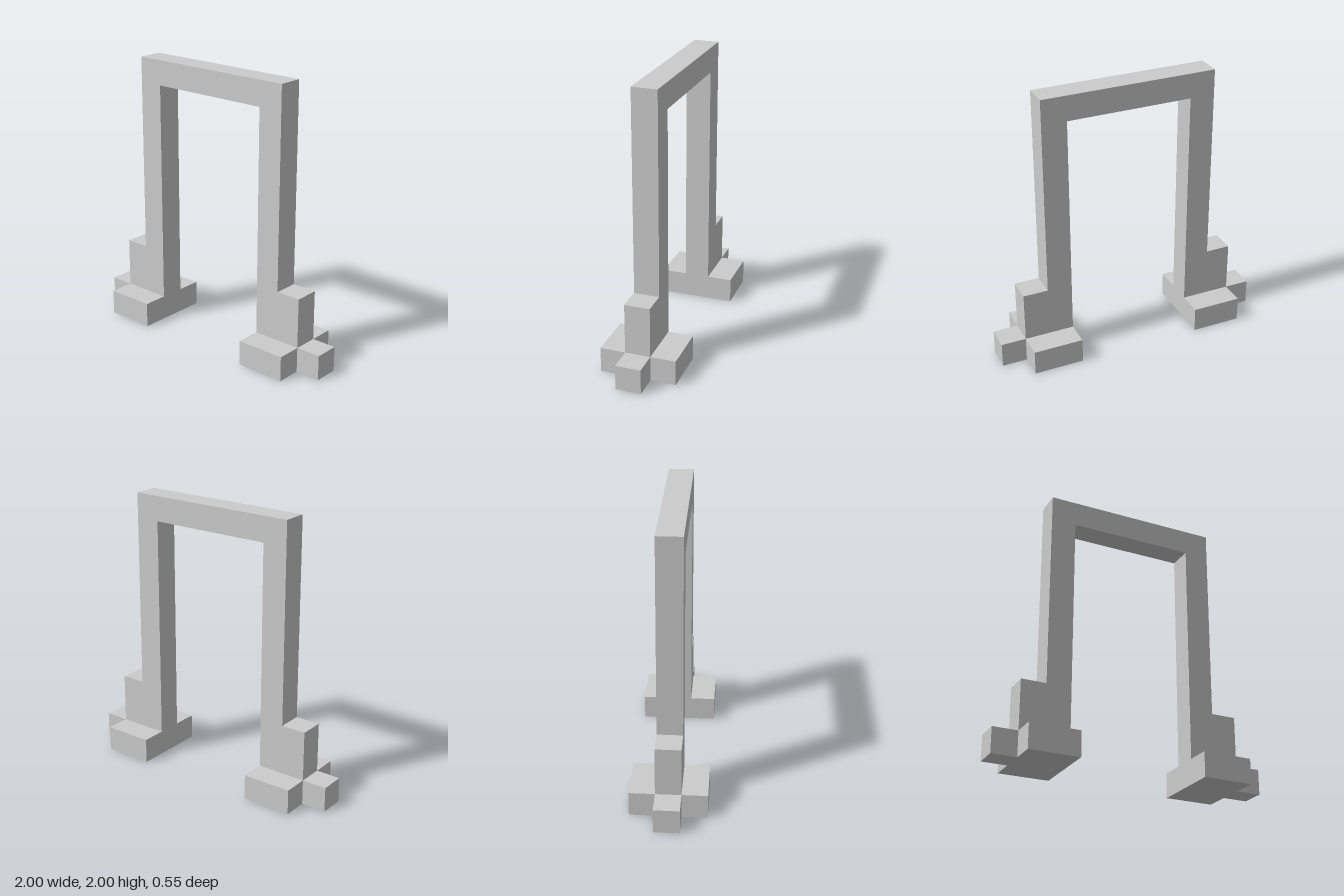
import * as THREE from 'three';

const U = 2 / 11; // building unit: the arch is 11 units wide and 11 tall

const outline = (points) =>
  new THREE.Shape(points.map(([x, y]) => new THREE.Vector2(x * U, y * U)));

const extrude = (shape, depth) =>
  new THREE.ExtrudeGeometry(shape, { depth: depth * U, bevelEnabled: false });

export function createModel() {
  const model = new THREE.Group();
  model.name = 'archway';
  const material = new THREE.MeshStandardMaterial({ color: 0xcccccc, flatShading: true });

  // Arch: two posts with stepped buttresses, joined by a lintel
  const half = [[2.5, 10], [2.5, 1], [4.5, 1], [4.5, 3], [3.5, 3], [3.5, 11]];
  const mirrored = half.map(([x, y]) => [-x, y]).reverse();
  const frameGeometry = extrude(outline([...half, ...mirrored]), 1);
  frameGeometry.translate(0, 0, -U / 2);
  const frame = new THREE.Mesh(frameGeometry, material);
  frame.name = 'archFrame';
  model.add(frame);

  // Feet: wide slab with a narrow toe pointing outward
  const plan = outline([
    [2.5, -1.5], [4.5, -1.5], [4.5, -0.5], [5.5, -0.5],
    [5.5, 0.5], [4.5, 0.5], [4.5, 1.5], [2.5, 1.5],
  ]);
  const footGeometry = extrude(plan, 1).rotateX(-Math.PI / 2);
  for (const [name, turn] of [['leftFoot', 0], ['rightFoot', Math.PI]]) {
    const foot = new THREE.Mesh(footGeometry, material);
    foot.name = name;
    foot.rotation.y = turn;
    model.add(foot);
  }

  return model;
}
